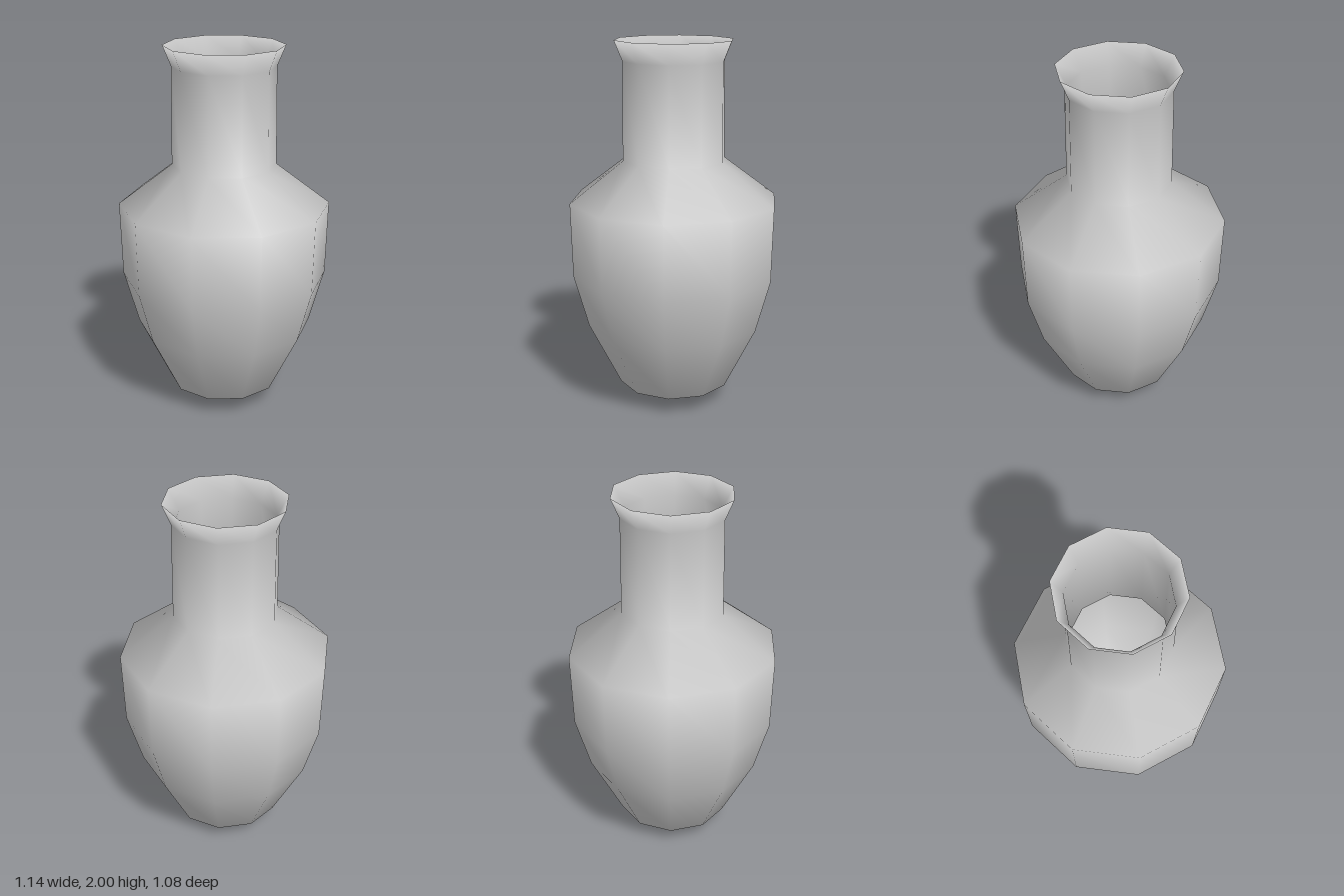
import * as THREE from 'three';

const SIDES = 10;

// Ten-sided smooth lathe with a corner on the x axis
function lathe(name, profile, material) {
  const points = profile.map(([r, y]) => new THREE.Vector2(r, y));
  const mesh = new THREE.Mesh(new THREE.LatheGeometry(points, SIDES, Math.PI / 2), material);
  mesh.name = name;
  return mesh;
}

export function createModel() {
  const group = new THREE.Group();
  group.name = 'vase';
  const clay = new THREE.MeshStandardMaterial({ color: 0xcccccc });

  // Outer wall: pointed base, belly, shoulder, neck and flared lip;
  // then over the rim and down the thin inner wall to the floor
  group.add(lathe('vaseBody', [
    [0, 0], [0.17, 0.045], [0.305, 0.1], [0.48, 0.45], [0.56, 0.74],
    [0.57, 1.145], [0.28, 1.365], [0.275, 1.89], [0.32, 2],
    [0.263, 1.89], [0.265, 1.358], [0.555, 1.138], [0.545, 0.745],
    [0.466, 0.457], [0.295, 0.113], [0.165, 0.06], [0, 0.015],
  ], clay));

  return group;
}
